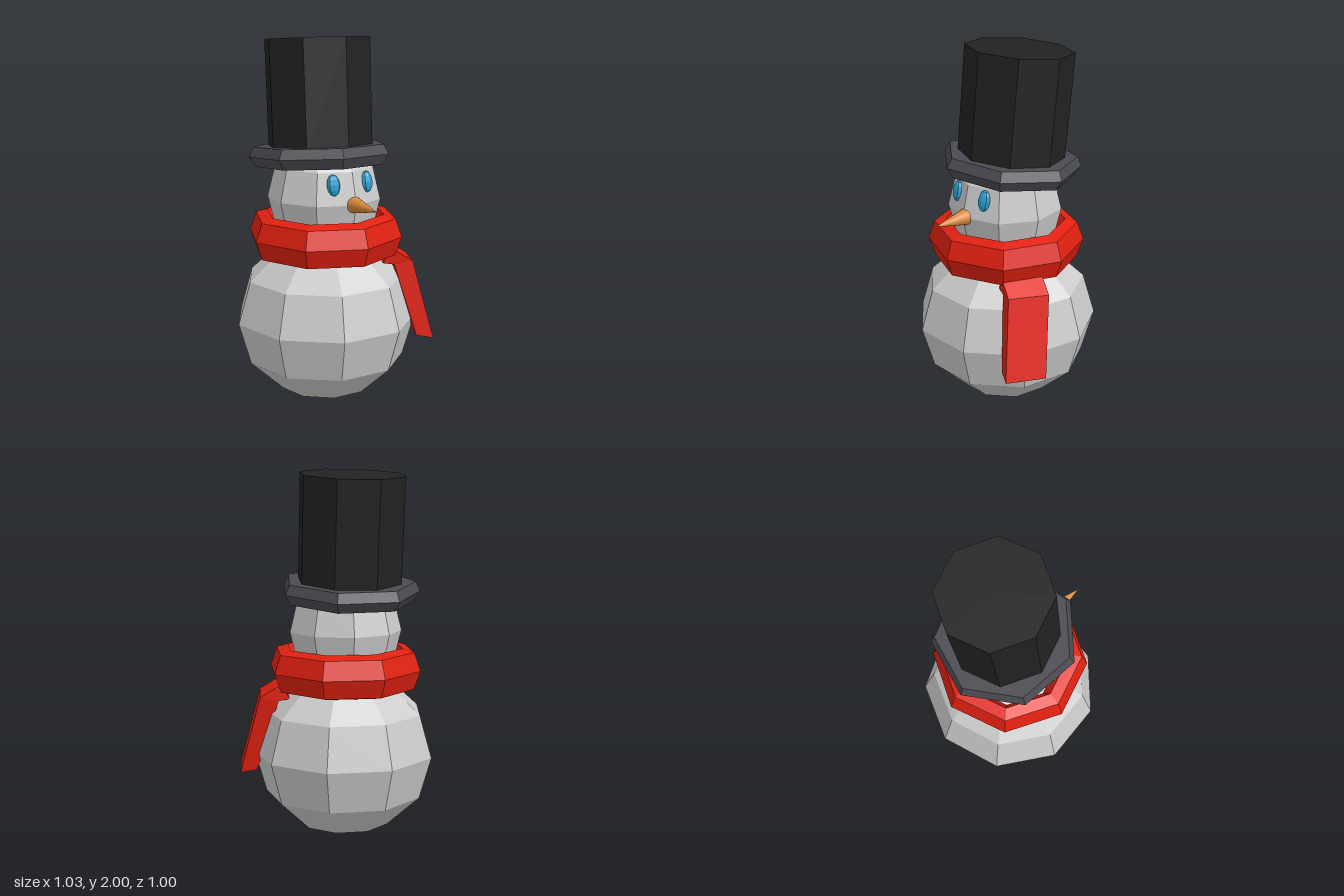
import * as THREE from 'three';

const AXIS_X = -0.025;

const material = (color, flatShading = true) => new THREE.MeshStandardMaterial({ color, flatShading });
const snow = material(0xcccccc);
const red = material(0xe02010);
const black = material(0x222222);
const slate = material(0x4a4a52);
const blue = material(0x2a9fd0);
const orange = material(0xd98a3d, false);

function addMesh(parent, name, geometry, mat, x = 0, y = 0, z = 0) {
  const mesh = new THREE.Mesh(geometry, mat);
  mesh.name = name;
  mesh.position.set(x, y, z);
  parent.add(mesh);
  return mesh;
}

// Faceted solid of revolution from [radius, height] pairs, bottom to top
const lathe = (points, sides) =>
  new THREE.LatheGeometry(points.map(([r, y]) => new THREE.Vector2(r, y)), sides);

// Faceted ball, squashed to its own width and height
function snowball(parent, name, y, radius, halfHeight, turn) {
  const geometry = new THREE.SphereGeometry(1, 9, 6).rotateY(turn).scale(radius, halfHeight, radius);
  return addMesh(parent, name, geometry, snow, AXIS_X, y, 0);
}

// Bent strap joined through four-cornered cross-sections
function strapGeometry(sections) {
  const positions = sections.flat(2);
  const index = [];
  for (let s = 0; s < sections.length - 1; s++) {
    for (let i = 0; i < 4; i++) {
      const j = (i + 1) % 4, t = s * 4, b = t + 4;
      index.push(t + i, b + i, b + j, t + i, b + j, t + j);
    }
  }
  const e = (sections.length - 1) * 4;
  index.push(0, 1, 2, 0, 2, 3, e, e + 3, e + 2, e, e + 2, e + 1);
  const geometry = new THREE.BufferGeometry();
  geometry.setAttribute('position', new THREE.Float32BufferAttribute(positions, 3));
  geometry.setIndex(index);
  geometry.computeVertexNormals();
  return geometry;
}

export function createModel() {
  const model = new THREE.Group();
  model.name = 'snowman';

  // Body has a corner at the back, head a corner at the front
  snowball(model, 'body', 0.46, 0.5, 0.46, -Math.PI / 2);
  snowball(model, 'head', 1.135, 0.31, 0.34, Math.PI / 2);

  // Scarf ring
  const ring = [[0.27, 0.925], [0.325, 0.81], [0.39, 0.825], [0.425, 0.925],
    [0.39, 1.025], [0.325, 1.045], [0.27, 0.925]];
  addMesh(model, 'scarfRing', lathe(ring, 8), red, AXIS_X);

  // Scarf tail: outer front corner and thickness of each section
  const width = [0.095, -0.008, -0.2];
  const add = (a, b) => a.map((v, i) => v + b[i]);
  const tail = [
    [[0.23, 0.86, 0.27], [-0.04, -0.08, -0.02]],
    [[0.336, 0.79, 0.32], [-0.09, -0.02, -0.045]],
    [[0.415, 0.362, 0.413], [-0.08, 0.016, -0.046]],
  ].map(([front, depth]) => {
    const back = add(front, width);
    return [front, back, add(back, depth), add(front, depth)];
  });
  addMesh(model, 'scarfTail', strapGeometry(tail), red);

  // Eyes
  for (const side of [-1, 1]) {
    const geometry = new THREE.SphereGeometry(1, 8, 6).scale(0.037, 0.057, 0.025);
    const eye = addMesh(model, side > 0 ? 'leftEye' : 'rightEye', geometry, blue,
      AXIS_X + side * 0.103, 1.242, 0.25);
    eye.rotation.set(-0.2, side * 0.2, 0);
  }

  // Nose
  const cone = new THREE.ConeGeometry(0.053, 0.245, 16).rotateX(Math.PI / 2);
  addMesh(model, 'nose', cone, orange, AXIS_X, 1.135, 0.375);

  // Hat, tipped backwards
  const hat = new THREE.Group();
  hat.name = 'hat';
  hat.position.set(-0.03, 1.355, -0.04);
  hat.rotation.set(-0.09, 0, -0.02);
  const brim = lathe([[0, -0.055], [0.35, -0.055], [0.385, 0], [0.36, 0.053], [0, 0.053]], 7);
  addMesh(hat, 'hatBrim', brim.rotateY(Math.PI / 2), slate);
  addMesh(hat, 'hatCrown', new THREE.CylinderGeometry(0.29, 0.288, 0.62, 8), black, 0, 0.31, 0);
  model.add(hat);

  return model;
}
